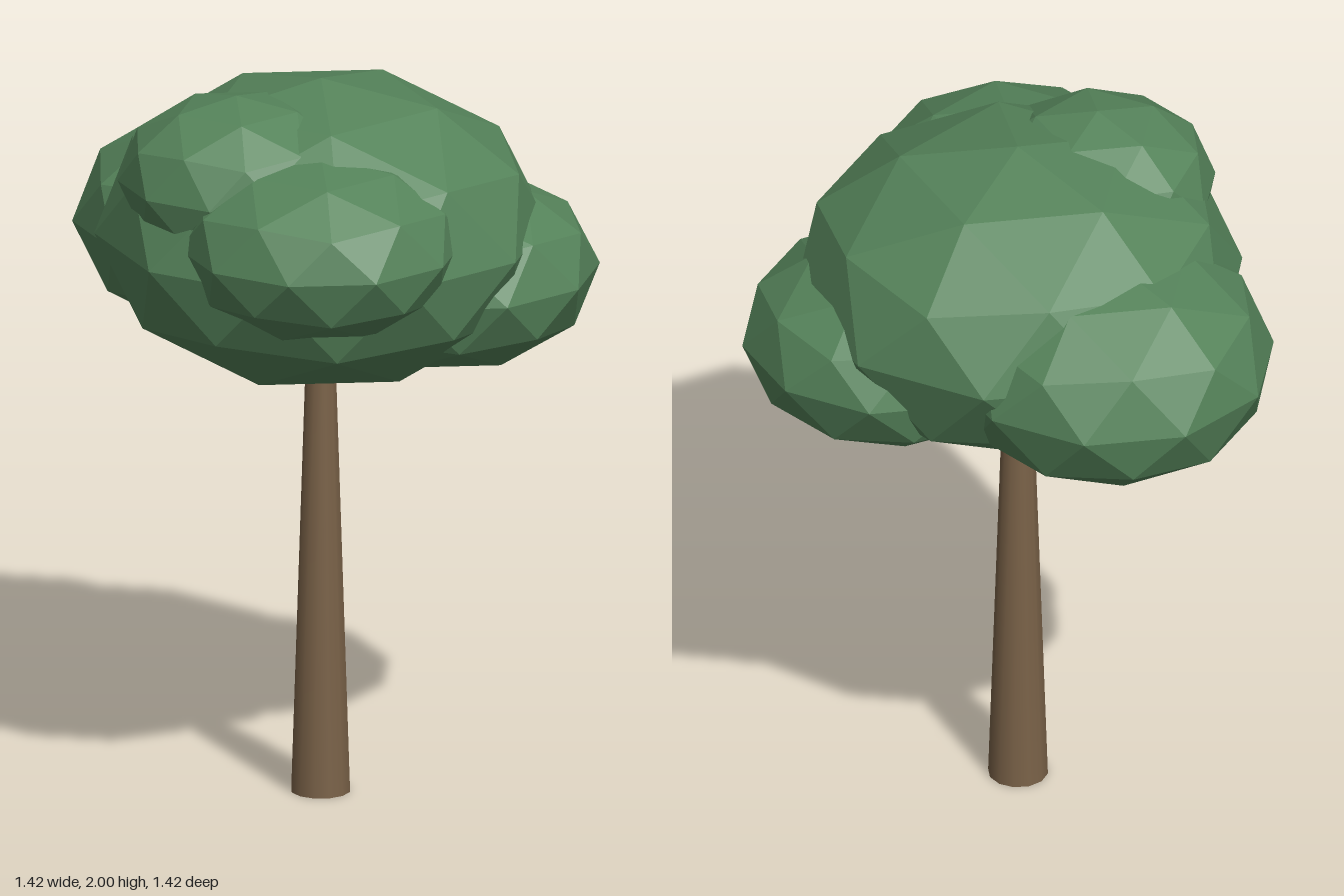
import * as THREE from 'three';

// Foliage clumps: name, centre, horizontal radius, vertical radius
const CLUMPS = [
  ['crownMain', [0, 1.58, -0.02], 0.61, 0.42],
  ['crownBackRight', [-0.285, 1.515, -0.265], 0.447, 0.31],
  ['crownBackLeft', [0.322, 1.455, -0.146], 0.407, 0.267],
  ['crownFront', [0.08, 1.64, 0.322], 0.383, 0.25],
  ['crownTop', [-0.185, 1.77, 0.185], 0.32, 0.23],
];

// Faceted sphere with a corner at each pole, flattened into an ellipsoid
function clumpGeometry(radius, height) {
  const g = new THREE.IcosahedronGeometry(1, 1);
  g.rotateZ(-Math.atan(2 / (1 + Math.sqrt(5))));
  g.scale(radius, height, radius);
  g.computeVertexNormals();
  return g;
}

export function createModel() {
  const tree = new THREE.Group();
  tree.name = 'tree';
  const bark = new THREE.MeshStandardMaterial({ color: 0x7a6248 });
  const leaves = new THREE.MeshStandardMaterial({ color: 0x55835a, flatShading: true });

  // Tapered trunk, ending inside the crown
  const trunkHeight = 1.4;
  const trunk = new THREE.Mesh(new THREE.CylinderGeometry(0.035, 0.081, trunkHeight, 12), bark);
  trunk.name = 'trunk';
  trunk.position.set(0, trunkHeight / 2, -0.017);
  tree.add(trunk);

  // Overlapping crown clumps
  const crown = new THREE.Group();
  crown.name = 'crown';
  for (const [name, centre, radius, height] of CLUMPS) {
    const clump = new THREE.Mesh(clumpGeometry(radius, height), leaves);
    clump.name = name;
    clump.position.set(...centre);
    crown.add(clump);
  }
  tree.add(crown);
  return tree;
}
